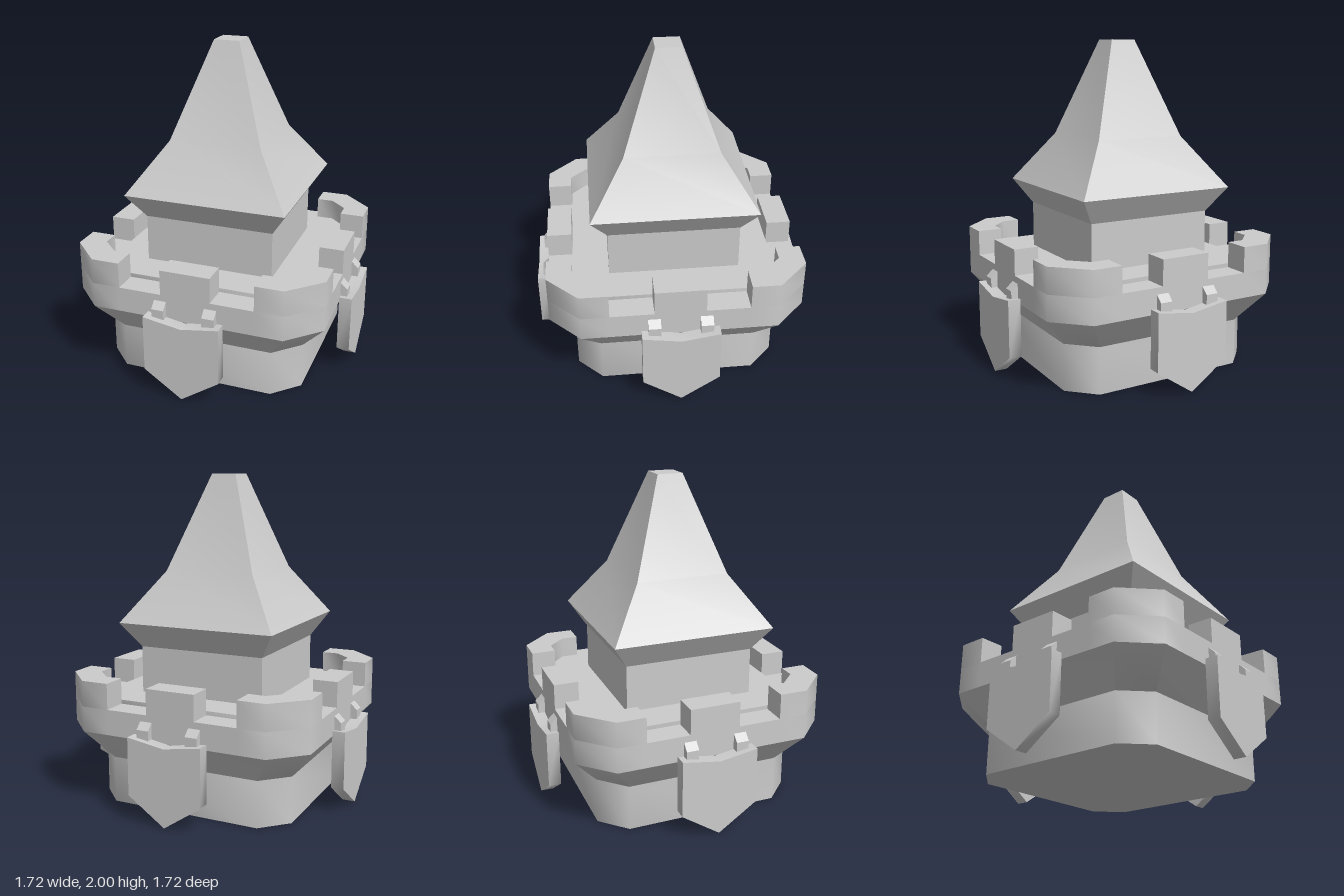
import * as THREE from 'three';
import { toCreasedNormals } from 'three/addons/utils/BufferGeometryUtils.js';

const material = new THREE.MeshStandardMaterial({ color: 0xcccccc });

function addMesh(parent, name, geometry) {
  const mesh = new THREE.Mesh(geometry, material);
  mesh.name = name;
  parent.add(mesh);
  return mesh;
}

function extrude(points, depth) {
  const shape = new THREE.Shape(points.map(([x, y]) => new THREE.Vector2(x, y)));
  return new THREE.ExtrudeGeometry(shape, { depth, bevelEnabled: false });
}

// Upright prism from an outline of [x, z] points; topScale flares the upper end
function prism(outline, y0, y1, topScale = 1) {
  const g = extrude(outline.map(([x, z]) => [x, -z]), y1 - y0);
  g.rotateX(-Math.PI / 2).translate(0, y0, 0);
  const p = g.attributes.position;
  for (let i = 0; i < p.count; i++) {
    if (p.getY(i) > (y0 + y1) / 2) {
      p.setX(i, p.getX(i) * topScale);
      p.setZ(i, p.getZ(i) * topScale);
    }
  }
  return toCreasedNormals(g, 0.85);
}

// Square with cut corners; k is where each cut starts, extra splits the long sides
function cutSquare(h, k, extra) {
  const side = extra ? [[h, -k], [h, -extra], [h, extra], [h, k]] : [[h, -k], [h, k]];
  const points = [];
  for (let i = 0; i < 4; i++) {
    for (let [x, z] of side) {
      for (let n = 0; n < i; n++) [x, z] = [-z, x];
      points.push([x, z]);
    }
  }
  return points;
}

export function createModel() {
  const model = new THREE.Group();
  model.name = 'castleTower';

  // Lower body, flare and battlement wall
  const baseOutline = cutSquare(0.63, 0.477);
  addMesh(model, 'base', prism(baseOutline, 0, 0.285));
  addMesh(model, 'flare', prism(baseOutline, 0.285, 0.475, 0.783 / 0.63));
  addMesh(model, 'battlementWall', prism(cutSquare(0.783, 0.593, 0.42), 0.475, 0.63));
  addMesh(model, 'walkway', prism(cutSquare(0.63, 0.525), 0.6, 0.655));

  // Square keep with overhanging roof: [half width, height]
  const profile = [[0, 0.64], [0.405, 0.64], [0.405, 0.945], [0.505, 1.1],
    [0.29, 1.41], [0.08, 2], [0, 2]]
    .map(([h, y]) => new THREE.Vector2(h * Math.SQRT2, y));
  addMesh(model, 'keepAndRoof',
    toCreasedNormals(new THREE.LatheGeometry(profile, 4, Math.PI / 4), 0.5));

  // Parts repeated on each of the four sides
  const cornerMerlon = prism([[0.783, 0.42], [0.783, 0.593], [0.593, 0.783], [0.42, 0.783],
    [0.42, 0.63], [0.525, 0.63], [0.63, 0.525], [0.63, 0.42]], 0.63, 0.787);
  const middleMerlon = new THREE.BoxGeometry(0.31, 0.157, 0.153).translate(0, 0.7085, 0.7065);
  const shield = toCreasedNormals(
    extrude([[-0.235, 0.51], [-0.235, 0.16], [0, 0], [0.235, 0.16], [0.235, 0.51], [0, 0.473]], 0.077)
      .translate(0, 0, 0.785), 1.05);
  // Strap profile is drawn in (z, y), then turned to face sideways
  const strap = extrude([[-0.77, 0.48], [-0.825, 0.48], [-0.825, 0.55], [-0.783, 0.59], [-0.77, 0.59]], 0.076)
    .translate(0, 0, -0.038).rotateY(Math.PI / 2);

  for (let i = 0; i < 4; i++) {
    const side = new THREE.Group();
    side.name = 'side' + (i + 1);
    side.rotation.y = i * Math.PI / 2;
    addMesh(side, 'cornerMerlon', cornerMerlon);
    addMesh(side, 'middleMerlon', middleMerlon);
    addMesh(side, 'shield', shield);
    for (const s of [-1, 1]) addMesh(side, 'shieldStrap', strap).position.x = s * 0.157;
    model.add(side);
  }
  return model;
}
